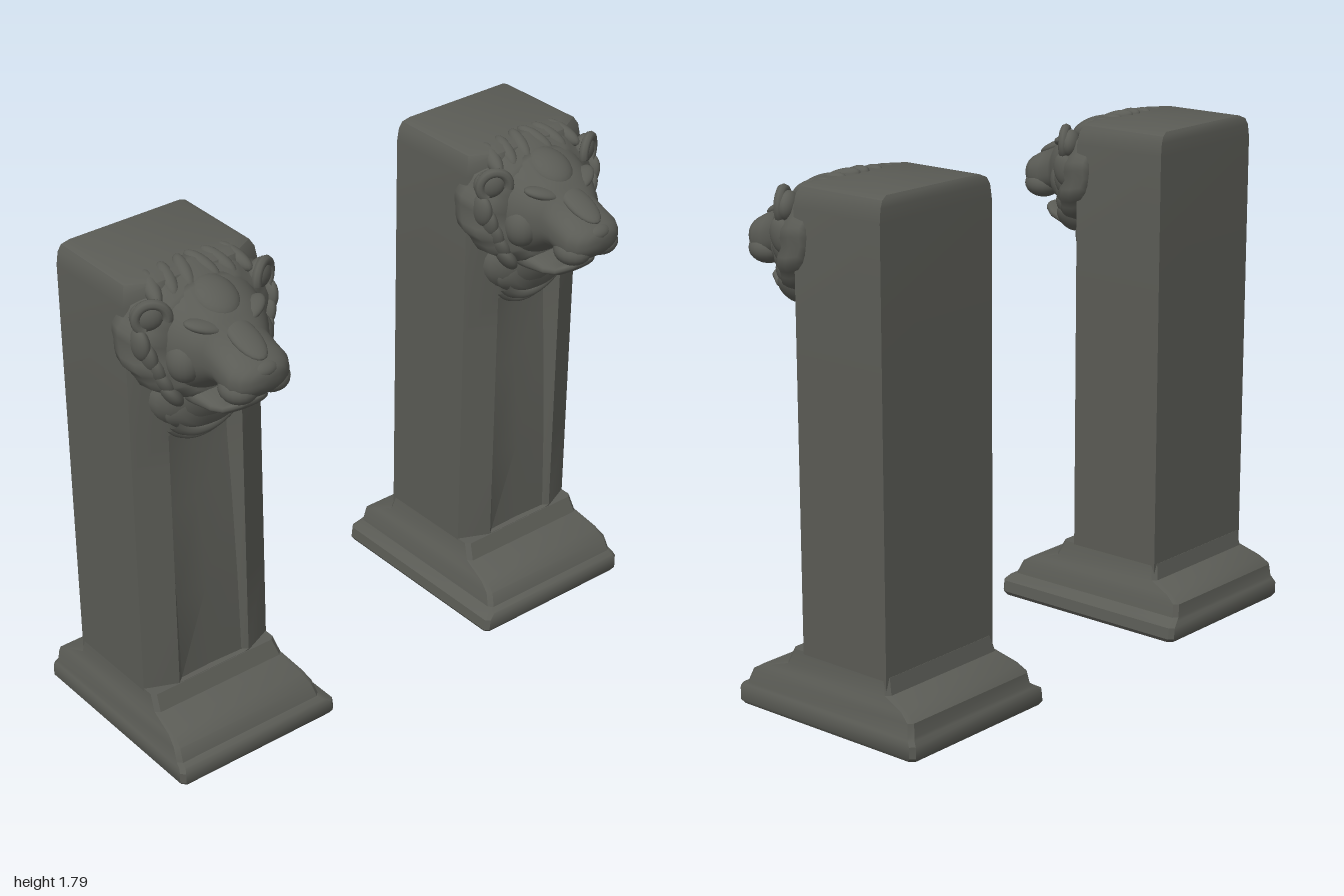
import * as THREE from 'three';
import { toCreasedNormals } from 'three/addons/utils/BufferGeometryUtils.js';

const stone = new THREE.MeshStandardMaterial({ color: 0x5a5b55 });
stone.name = 'dark stone';

// Skins a closed surface over rings of [x, y, z] points, capped at both ends
function skin(rings, crease) {
  const n = rings[0].length, pos = rings.flat(2), idx = [];
  for (let i = 0; i < rings.length - 1; i++) {
    for (let j = 0; j < n; j++) {
      const k = (j + 1) % n, a = i * n, b = a + n;
      idx.push(a + j, a + k, b + k, a + j, b + k, b + j);
    }
  }
  const first = rings.length * n, last = (rings.length - 1) * n;
  for (const ring of [rings[0], rings[rings.length - 1]]) {
    for (let c = 0; c < 3; c++) pos.push(ring.reduce((s, p) => s + p[c], 0) / n);
  }
  for (let j = 0; j < n; j++) {
    const k = (j + 1) % n;
    idx.push(first, k, j, first + 1, last + j, last + k);
  }
  const g = new THREE.BufferGeometry();
  g.setAttribute('position', new THREE.Float32BufferAttribute(pos, 3));
  g.setIndex(idx);
  g.computeVertexNormals();
  return crease ? toCreasedNormals(g, crease) : g;
}

// Chamfered rectangle in plan
function plan([y, x0, x1, z0, z1], r = 0.015) {
  return [[x1, y, z1 - r], [x1, y, z0 + r], [x1 - r, y, z0], [x0 + r, y, z0],
    [x0, y, z0 + r], [x0, y, z1 - r], [x0 + r, y, z1], [x1 - r, y, z1]];
}

// Ovals [z, top, bottom, halfWidth] stacked forward; waves ripple the rim, lean pushes the lower half forward
function ovals(sections, { power = 1, waves = 0, depth = 0, lean = 0 } = {}) {
  const n = 48, bend = (v) => Math.sign(v) * Math.abs(v) ** power;
  return skin(sections.map(([z, top, bottom, w]) => {
    const cy = (top + bottom) / 2, h = (top - bottom) / 2;
    return Array.from({ length: n }, (_, j) => {
      const a = (j / n) * Math.PI * 2;
      const k = 1 + depth * Math.cos(waves * (a - Math.PI / 2));
      const y = cy + h * k * bend(Math.sin(a));
      return [w * k * bend(Math.cos(a)), y, z + lean * Math.max(0, cy - y)];
    });
  }));
}

function add(parent, name, geometry, p = [0, 0, 0], s = [1, 1, 1], r = [0, 0, 0]) {
  const m = new THREE.Mesh(geometry, stone);
  m.name = name;
  m.position.set(...p);
  m.scale.set(...s);
  m.rotation.set(...r);
  parent.add(m);
  return m;
}

const ball = new THREE.SphereGeometry(1, 20, 14);

function makeBase(side) {
  const rows = [
    [0, -0.29, 0.34, -0.445, 0.32], [0.015, -0.3, 0.35, -0.455, 0.33],
    [0.055, -0.3, 0.345, -0.455, 0.33], [0.07, -0.295, 0.32, -0.445, 0.32],
    [0.08, -0.29, 0.305, -0.44, 0.3], [0.125, -0.285, 0.295, -0.435, 0.28],
    [0.15, -0.275, 0.285, -0.4, 0.24], [0.18, -0.262, 0.268, -0.318, 0.14],
    [0.235, -0.256, 0.256, -0.306, 0.113],
  ];
  return skin(rows.map(([y, a, b, z0, z1]) =>
    plan(side < 0 ? [y, a, b, z0, z1] : [y, -b, -a, z0, z1])), 0.6);
}

// Shaft with a hollowed front panel between two splayed pilasters
function makeShaft() {
  const rows = [[0.14, 0], [0.236, 0], [0.24, 0.015], [0.55, 0.025], [0.9, 0.045],
    [1.1, 0.06], [1.22, 0.06], [1.225, 0], [1.7, 0], [1.745, 0, 0.006], [1.768, 0, 0.018], [1.78, 0, 0.045]];
  return skin(rows.map(([y, d, inset = 0]) => {
    const w = 0.257 - inset, f = 0.11 - inset, b = -0.305 + inset * 0.3;
    return [[w, y, f - 0.05], [w, y, b], [-w, y, b], [-w, y, f - 0.05], [-0.145, y, f],
      [-0.125, y, f - d], [0, y, f - d * 1.3], [0.125, y, f - d], [0.145, y, f]];
  }), 0.6);
}

function makeHead() {
  const head = new THREE.Group();
  head.name = 'lionHead';
  // Mane ruff
  add(head, 'mane', ovals([[0, 1.75, 1.42, 0.25], [0.02, 1.78, 1.39, 0.278], [0.06, 1.785, 1.37, 0.285],
    [0.11, 1.765, 1.37, 0.27], [0.15, 1.745, 1.385, 0.235], [0.18, 1.72, 1.41, 0.19]],
  { power: 0.9, waves: 14, depth: 0.022, lean: 0.3 }));
  // Skull running into the muzzle
  add(head, 'face', ovals([[0.08, 1.765, 1.37, 0.2], [0.15, 1.75, 1.38, 0.195], [0.2, 1.725, 1.4, 0.18],
    [0.25, 1.7, 1.44, 0.155], [0.285, 1.68, 1.465, 0.13], [0.31, 1.645, 1.465, 0.115],
    [0.36, 1.622, 1.452, 0.115], [0.4, 1.605, 1.458, 0.114], [0.43, 1.59, 1.475, 0.095],
    [0.448, 1.575, 1.495, 0.07], [0.456, 1.56, 1.515, 0.035]], { power: 0.85 }));
  add(head, 'lowerJaw', ovals([[0.12, 1.43, 1.34, 0.12], [0.2, 1.425, 1.345, 0.11], [0.27, 1.405, 1.355, 0.095],
    [0.32, 1.415, 1.37, 0.085], [0.35, 1.43, 1.39, 0.07], [0.365, 1.425, 1.405, 0.045]], { power: 0.8 }));
  add(head, 'nose', ball, [0, 1.565, 0.428], [0.05, 0.025, 0.03], [0.4, 0, 0]);
  add(head, 'noseBridge', ball, [0, 1.632, 0.335], [0.05, 0.022, 0.1], [0.38, 0, 0]);
  add(head, 'forehead', ball, [0, 1.71, 0.185], [0.075, 0.04, 0.09], [0.4, 0, 0]);
  for (const s of [-1, 1]) {
    add(head, 'upperLip', ball, [s * 0.06, 1.495, 0.375], [0.063, 0.05, 0.068]);
    add(head, 'brow', ball, [s * 0.092, 1.665, 0.25], [0.065, 0.02, 0.036], [0, s * 0.5, s * 0.25]);
    add(head, 'eye', ball, [s * 0.09, 1.628, 0.268], [0.03, 0.014, 0.024], [0, s * 0.5, s * 0.2]);
    add(head, 'cheek', ball, [s * 0.135, 1.54, 0.2], [0.06, 0.075, 0.065]);
    // Rounded ear with a raised rim
    add(head, 'ear', ball, [s * 0.215, 1.69, 0.125], [0.055, 0.05, 0.035], [0, s * 0.5, 0]);
    add(head, 'earRim', new THREE.TorusGeometry(0.05, 0.017, 8, 24, 4.4),
      [s * 0.213, 1.69, 0.148], [1, 1, 1], [0, s * 0.5, s > 0 ? -1.1 : -0.2]);
    // Mane locks sweeping down the cheeks
    for (let i = 0; i < 5; i++) {
      add(head, 'maneLock', ball, [s * (0.245 - i * 0.02), 1.6 - i * 0.047, 0.125 + i * 0.01],
        [0.026, 0.06, 0.045], [0.2, 0, s * (-0.1 - i * 0.13)]);
    }
    // Tufts over the crown
    for (let i = 0; i < 3; i++) {
      add(head, 'crownTuft', ball, [s * (0.035 + i * 0.062), 1.757 - i * 0.006, 0.07],
        [0.028, 0.03, 0.075], [0.35, s * 0.25, 0]);
    }
  }
  // Throat and the draped bands under it
  add(head, 'throat', ball, [0, 1.355, 0.08], [0.2, 0.14, 0.105]);
  add(head, 'chest', ovals([[0.04, 1.42, 1.21, 0.17], [0.13, 1.42, 1.22, 0.165], [0.165, 1.4, 1.245, 0.12]]));
  for (const [y, z, r, t] of [[1.37, 0.13, 0.165, 0.022], [1.345, 0.11, 0.165, 0.018]]) {
    add(head, 'collarBand', new THREE.TorusGeometry(r, t, 8, 28, 1.9), [0, y, z], [1, 0.88, 1], [0, 0, -Math.PI / 2 - 0.95]);
  }
  return head;
}

export function createModel() {
  const model = new THREE.Group();
  model.name = 'lionPillars';
  for (const [side, x] of [[-1, -0.7], [1, 0.692]]) {
    const pillar = new THREE.Group();
    pillar.name = side < 0 ? 'rightPillar' : 'leftPillar';
    add(pillar, 'base', makeBase(side));
    add(pillar, 'shaft', makeShaft());
    pillar.add(makeHead());
    pillar.position.x = x;
    model.add(pillar);
  }
  return model;
}
